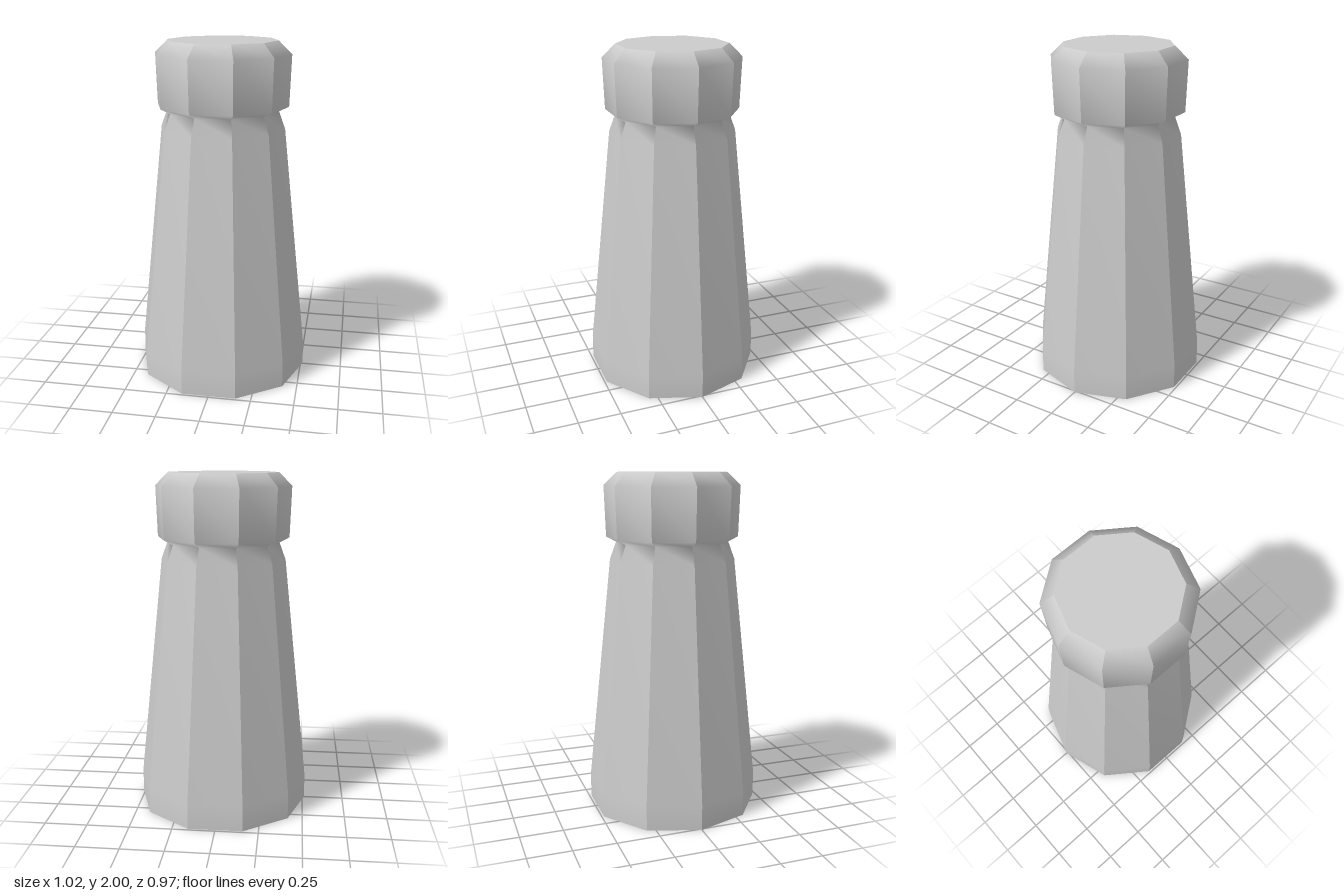
import * as THREE from 'three';
import { mergeGeometries } from 'three/addons/utils/BufferGeometryUtils.js';

const SIDES = 10;

// Radius and height, from the foot up to the bevelled head
const PROFILE = [
  [0.512, 0], [0.512, 0.15], [0.367, 1.5], [0.33, 1.6],
  [0.387, 1.63], [0.397, 1.925], [0.32, 2],
].map(([r, y]) => new THREE.Vector2(r, y));

export function createModel() {
  const group = new THREE.Group();
  const material = new THREE.MeshStandardMaterial({ color: 0xcccccc });

  const add = (name, geometry) => {
    const mesh = new THREE.Mesh(geometry, material);
    mesh.name = name;
    group.add(mesh);
    return mesh;
  };

  // Post wall: one strip per side, smooth along its height, sharp between sides
  const step = (Math.PI * 2) / SIDES;
  const strips = [];
  for (let i = 0; i < SIDES; i++) {
    const strip = new THREE.LatheGeometry(PROFILE, 1, Math.PI / 2 + i * step, step);
    strip.computeVertexNormals();
    strips.push(strip);
  }
  add('postWall', mergeGeometries(strips));

  // Flat ends
  const top = PROFILE[PROFILE.length - 1];
  add('topCap', new THREE.CircleGeometry(top.x, SIDES).rotateX(-Math.PI / 2)).position.y = top.y;
  add('bottomCap', new THREE.CircleGeometry(PROFILE[0].x, SIDES).rotateX(Math.PI / 2));

  return group;
}
